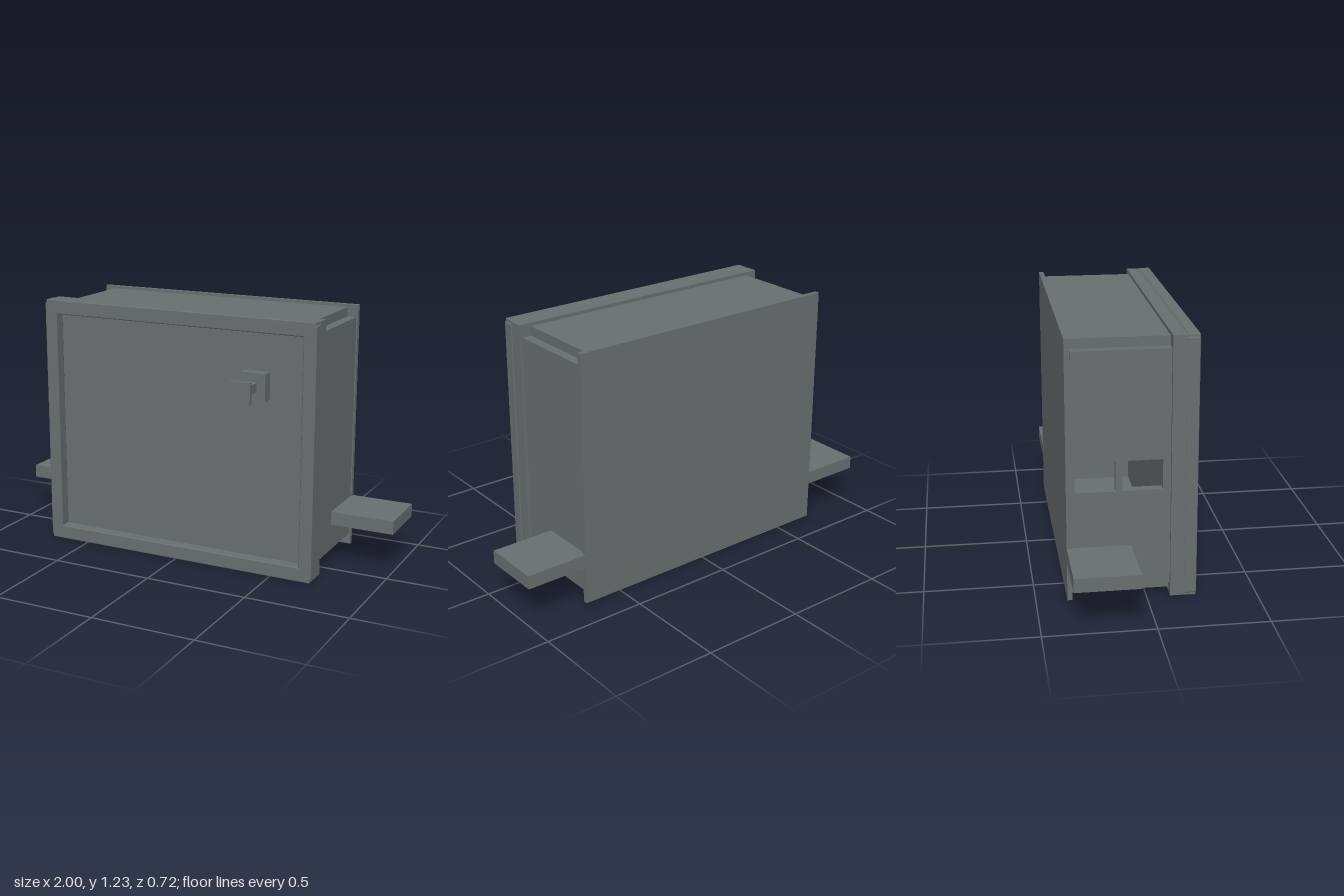
import * as THREE from 'three';
import { RoundedBoxGeometry } from 'three/addons/geometries/RoundedBoxGeometry.js';

export function createModel() {
  const model = new THREE.Group();
  model.name = 'wallCabinet';
  const steel = new THREE.MeshStandardMaterial({ color: 0x697070 });
  steel.name = 'greySteel';

  const add = (name, geometry) => {
    const mesh = new THREE.Mesh(geometry, steel);
    mesh.name = name;
    model.add(mesh);
    return mesh;
  };
  // Box given by its limits; a radius rounds its edges
  const box = (name, x0, x1, y0, y1, z0, z1, radius = 0) => {
    const size = [x1 - x0, y1 - y0, z1 - z0];
    const geometry = radius
      ? new RoundedBoxGeometry(...size, 2, radius)
      : new THREE.BoxGeometry(...size);
    geometry.translate((x0 + x1) / 2, (y0 + y1) / 2, (z0 + z1) / 2);
    return add(name, geometry);
  };
  // Wall panel with two cable openings side by side in depth
  const openPanel = (name, u0, u1, hole) => {
    const rect = (target, a0, a1, b0, b1) => {
      target.moveTo(a0, b0).lineTo(a1, b0).lineTo(a1, b1).lineTo(a0, b1).closePath();
      return target;
    };
    const shape = rect(new THREE.Shape(), u0, u1, -0.333, 0.11);
    for (const z of [-0.23, -0.02]) {
      shape.holes.push(rect(new THREE.Path(), hole - 0.07, hole + 0.07, z - 0.09, z + 0.09));
    }
    return add(name, new THREE.ExtrudeGeometry(shape, { depth: 0.045, bevelEnabled: false }));
  };

  // Hollow body: panels meet in notched corners
  box('topPanel', -0.645, 0.645, 1.16, 1.205, -0.333, 0.11);
  box('leftPanel', 0.645, 0.69, 0.065, 1.16, -0.333, 0.11);
  const bottom = openPanel('bottomPanel', -0.645, 0.645, 0.24);
  bottom.rotation.x = Math.PI / 2;
  bottom.position.y = 0.067;
  const right = openPanel('rightPanel', 0.065, 1.16, 0.59);
  // Panel axes: length along y, depth along z, thickness along x
  right.rotation.setFromRotationMatrix(new THREE.Matrix4().makeBasis(
    new THREE.Vector3(0, 1, 0), new THREE.Vector3(0, 0, 1), new THREE.Vector3(1, 0, 0)));
  right.position.x = -0.69;

  // Back plate on a lower spacer
  box('backSpacer', -0.69, 0.69, 0.11, 1.12, -0.345, -0.333);
  box('backPlate', -0.697, 0.697, 0.01, 1.218, -0.36, -0.337);

  // Mounting tabs
  for (const s of [-1, 1]) {
    box('mountingTab', Math.min(s, s * 0.685), Math.max(s, s * 0.685), 0.195, 0.26, -0.36, -0.07);
  }

  // Door slab
  box('doorSlab', -0.705, 0.705, 0.006, 1.221, 0.105, 0.169);

  // Raised door frame
  for (const y of [0, 1.155]) box('frameRail', -0.702, 0.702, y, y + 0.07, 0.167, 0.225, 0.006);
  for (const x of [-0.708, 0.644]) box('frameStile', x, x + 0.064, 0.015, 1.21, 0.167, 0.225, 0.006);

  // Square door handle
  box('handleBase', 0.338, 0.465, 0.84, 0.97, 0.165, 0.223);
  box('handleStem', 0.38, 0.423, 0.882, 0.926, 0.21, 0.35);
  box('handleCap', 0.351, 0.452, 0.853, 0.956, 0.345, 0.362);

  return model;
}
